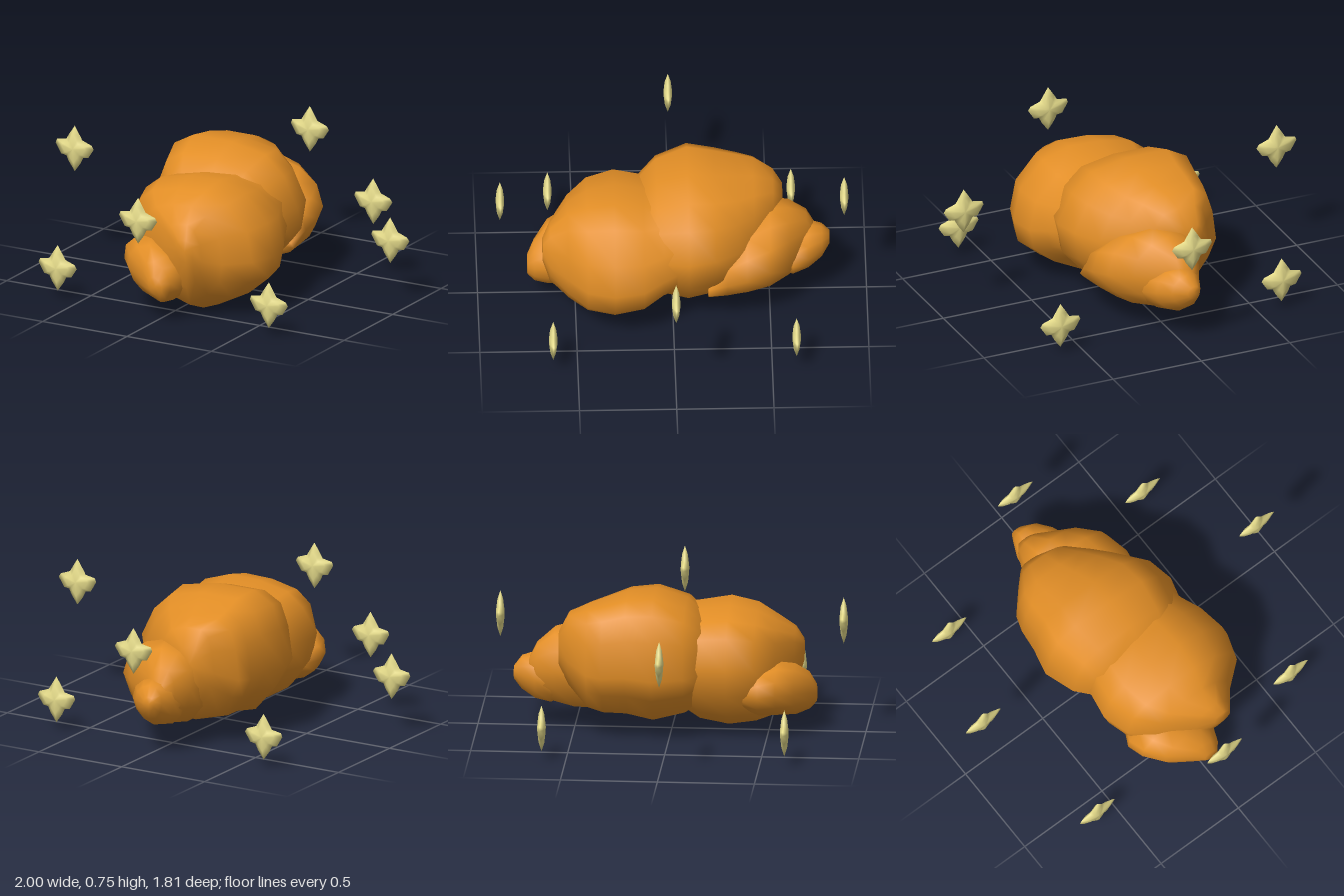
import * as THREE from 'three';

// Lofts an outline (counterclockwise from +z) through sections [z, xMin, xMax, yMin, yMax].
function loft(outline, sections) {
  const box = new THREE.Box2().setFromPoints(outline.map(([x, y]) => new THREE.Vector2(x, y)));
  const size = box.getSize(new THREE.Vector2());
  const n = outline.length;
  const pos = [], idx = [];
  for (const [z, x0, x1, y0, y1] of sections) {
    for (const [x, y] of outline) {
      pos.push(x0 + (x - box.min.x) / size.x * (x1 - x0), y0 + (y - box.min.y) / size.y * (y1 - y0), z);
    }
  }
  // Closing points at both ends
  for (const [z, x0, x1, y0, y1] of [sections[0], sections[sections.length - 1]]) {
    pos.push((x0 + x1) / 2, (y0 + y1) / 2, z);
  }
  const first = sections.length * n, top = first - n;
  for (let j = 0; j < n; j++) {
    const k = (j + 1) % n;
    for (let i = 0; i < sections.length - 1; i++) {
      const a = i * n + j, b = i * n + k;
      idx.push(a, b, b + n, a, b + n, a + n);
    }
    idx.push(first, k, j, first + 1, top + j, top + k);
  }
  const g = new THREE.BufferGeometry();
  g.setAttribute('position', new THREE.Float32BufferAttribute(pos, 3));
  g.setIndex(idx);
  g.computeVertexNormals();
  return g;
}

// Slightly irregular oval for the smaller lumps
const oval = Array.from({ length: 12 }, (_, i) => {
  const a = i / 12 * Math.PI * 2, r = 1 + 0.04 * Math.sin(3 * a + 1);
  return [r * Math.cos(a), r * Math.sin(a)];
});

const lumps = {
  frontBoulder: {
    outline: [[0.465, 0.31], [0.43, 0.48], [0.3, 0.62], [0.15, 0.67], [-0.03, 0.665], [-0.2, 0.63], [-0.29, 0.56],
      [-0.335, 0.4], [-0.3, 0.25], [-0.2, 0.12], [-0.08, 0.05], [0.14, 0], [0.32, 0.09], [0.44, 0.19]],
    sections: [[-0.11, 0, 0.3, 0.28, 0.58], [-0.05, -0.15, 0.35, 0.15, 0.65], [0.05, -0.28, 0.39, 0.1, 0.64],
      [0.15, -0.31, 0.44, 0.03, 0.65], [0.3, -0.335, 0.465, 0, 0.675], [0.44, -0.29, 0.42, 0.02, 0.645],
      [0.54, -0.17, 0.3, 0.06, 0.59], [0.63, 0.01, 0.23, 0.18, 0.52], [0.67, 0.1, 0.2, 0.33, 0.45]],
  },
  rearBoulder: {
    outline: [[0.39, 0.45], [0.31, 0.61], [0.2, 0.71], [0, 0.75], [-0.23, 0.75], [-0.34, 0.69], [-0.39, 0.56],
      [-0.42, 0.36], [-0.355, 0.24], [-0.24, 0.11], [0, 0.05], [0.2, 0.1], [0.36, 0.28]],
    sections: [[-0.57, -0.21, -0.07, 0.36, 0.55], [-0.52, -0.26, 0.07, 0.24, 0.64], [-0.42, -0.35, 0.19, 0.12, 0.68],
      [-0.34, -0.375, 0.27, 0.09, 0.7], [-0.22, -0.39, 0.36, 0.08, 0.735], [-0.08, -0.42, 0.39, 0.05, 0.75],
      [0.08, -0.365, 0.35, 0.09, 0.7], [0.17, -0.29, 0.29, 0.17, 0.615], [0.24, -0.15, 0.2, 0.3, 0.5]],
  },
  rearLump: {
    outline: oval,
    sections: [[-0.73, -0.1, 0, 0.3, 0.38], [-0.69, -0.13, 0.05, 0.18, 0.46], [-0.6, -0.17, 0.2, 0.13, 0.53],
      [-0.5, -0.2, 0.3, 0.1, 0.55], [-0.38, -0.18, 0.335, 0.09, 0.505], [-0.28, -0.05, 0.325, 0.1, 0.43],
      [-0.18, 0.1, 0.31, 0.15, 0.24]],
  },
  tailLump: {
    outline: oval,
    sections: [[-0.81, -0.08, -0.01, 0.26, 0.33], [-0.77, -0.1, 0.06, 0.2, 0.38], [-0.7, -0.13, 0.12, 0.15, 0.4],
      [-0.62, -0.14, 0.16, 0.13, 0.38], [-0.53, -0.1, 0.12, 0.17, 0.32]],
  },
  noseLump: {
    outline: [[0.12, 0.24], [0.08, 0.3], [0.01, 0.35], [-0.12, 0.39], [-0.22, 0.37], [-0.28, 0.32], [-0.29, 0.25],
      [-0.25, 0.18], [-0.18, 0.13], [-0.02, 0.085], [0.06, 0.11], [0.11, 0.17]],
    sections: [[0.36, -0.25, 0, 0.15, 0.3], [0.46, -0.3, 0.08, 0.09, 0.38], [0.55, -0.275, 0.12, 0.085, 0.4],
      [0.64, -0.2, 0.115, 0.085, 0.38], [0.71, -0.08, 0.09, 0.11, 0.32], [0.745, -0.02, 0.06, 0.15, 0.25]],
  },
};

// Flat four-pointed star, thickest at its middle
const starOutline = [[0.113, 0.01], [0.1, 0.03], [0.045, 0.05], [0.03, 0.075], [0, 0.123], [-0.035, 0.07], [-0.05, 0.045],
  [-0.105, 0.035], [-0.113, 0.015], [-0.08, -0.04], [-0.05, -0.045], [-0.035, -0.075], [0, -0.123], [0.035, -0.075],
  [0.05, -0.045], [0.08, -0.04]];
const starSections = [[-0.021, 0.2], [-0.015, 0.62], [0, 1], [0.015, 0.62], [0.021, 0.2]]
  .map(([z, s]) => [z, -0.113 * s, 0.113 * s, -0.123 * s, 0.123 * s]);

export function createModel() {
  const model = new THREE.Group();
  const orange = new THREE.MeshStandardMaterial({ color: 0xe28e26 });
  orange.name = 'orange';
  const khaki = new THREE.MeshStandardMaterial({ color: 0xe8de8c });
  khaki.name = 'pale khaki';

  // Clustered body
  const body = new THREE.Group();
  body.name = 'body';
  for (const [name, { outline, sections }] of Object.entries(lumps)) {
    const mesh = new THREE.Mesh(loft(outline, sections), orange);
    mesh.name = name;
    body.add(mesh);
  }

  // Ring of eight stars, alternately high and low, all facing forward
  const stars = new THREE.Group();
  stars.name = 'starRing';
  const starGeometry = loft(starOutline, starSections);
  for (let i = 0; i < 8; i++) {
    const a = i * Math.PI / 4;
    const star = new THREE.Mesh(starGeometry, khaki);
    star.name = 'star';
    star.position.set(0.885 * Math.cos(a), i % 2 ? 0.165 : 0.593, 0.885 * Math.sin(a));
    stars.add(star);
  }

  model.add(body, stars);
  return model;
}
